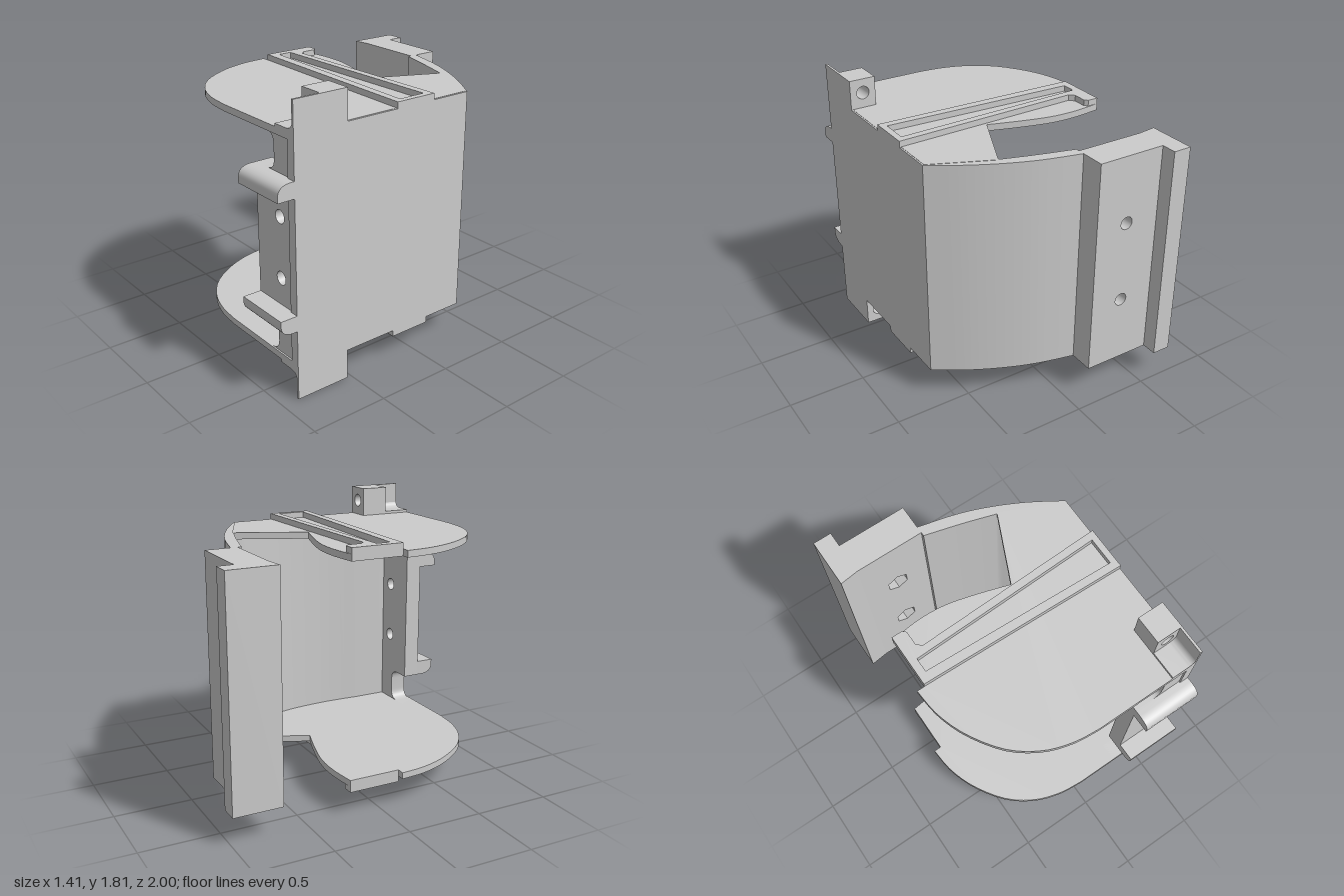
import * as THREE from 'three';
import { toCreasedNormals } from 'three/addons/utils/BufferGeometryUtils.js';

const MID = 0.905; // mirror height: upper and lower halves match
const material = new THREE.MeshStandardMaterial({ color: 0xcccccc });

const curve = (pts, n = 20) =>
  new THREE.SplineCurve(pts.map(([x, y]) => new THREE.Vector2(x, y))).getPoints(n).map(p => [p.x, p.y]);
const toShape = pts => new THREE.Shape(pts.map(([x, y]) => new THREE.Vector2(x, y)));
const circle = (x, y, r, n = 24) =>
  new THREE.Path(Array.from({ length: n }, (_, i) => {
    const a = Math.PI / 2 + i / n * Math.PI * 2;
    return new THREE.Vector2(x + r * Math.cos(a), y + r * Math.sin(a));
  }));

export function createModel() {
  const group = new THREE.Group();

  const add = (name, geometry) => {
    const mesh = new THREE.Mesh(toCreasedNormals(geometry, 0.5), material);
    mesh.name = name;
    group.add(mesh);
    return mesh;
  };
  // Outline in x, z raised from y0 to y1
  const slab = (name, pts, y0, y1, hole) => {
    const flip = p => p.map(([x, z]) => [x, -z]);
    const shape = toShape(flip(pts));
    if (hole) shape.holes.push(toShape(flip(hole)));
    const geo = new THREE.ExtrudeGeometry(shape, { depth: y1 - y0, bevelEnabled: false });
    geo.rotateX(-Math.PI / 2).translate(0, y0, 0);
    return add(name, geo);
  };
  // Outline in x, y pushed from z0 to z1
  const panel = (name, shape, z0, z1) => {
    const geo = new THREE.ExtrudeGeometry(shape, { depth: z1 - z0, bevelEnabled: false, curveSegments: 10 });
    return add(name, geo.translate(0, 0, z0));
  };
  const rect = (x0, x1, y0, y1) => [[x0, y0], [x1, y0], [x1, y1], [x0, y1]];

  // Curved back wall running into the straight side wall
  slab('shellWall', [
    ...curve([[-0.14, -0.74], [0.1, -0.68], [0.3, -0.605], [0.5, -0.505], [0.7, -0.38]]),
    [0.7, 0.89], [0.64, 0.89],
    ...curve([[0.64, 0.55], [0.65, 0.25], [0.61, -0.08], [0.49, -0.38], [0.31, -0.54]]),
    ...curve([[0.31, -0.54], [0.1, -0.605], [-0.14, -0.67]]).slice(1),
  ], 0.19, 1.62);

  // Rear mounting flange: round bores behind, hexagonal nut pockets in front
  const bores = [0.635, 1.175];
  const flangeBack = toShape(rect(-0.6, -0.14, 0.19, 1.62));
  const flangeFront = toShape(rect(-0.6, -0.14, 0.19, 1.62));
  for (const y of bores) {
    flangeBack.holes.push(circle(-0.36, y, 0.042));
    flangeFront.holes.push(circle(-0.36, y, 0.075, 6));
  }
  panel('rearFlange', flangeBack, -0.9, -0.77);
  panel('nutPocketLayer', flangeFront, -0.77, -0.695);
  slab('rearPost', [[-0.71, -1], [-0.59, -1], [-0.59, -0.695], [-0.71, -0.68]], 0.19, 1.62);

  // Front flange with rounded slots beside the centre panel
  const front = new THREE.Shape();
  front.moveTo(0.7, 0.19);
  front.lineTo(0.7, 1.62);
  front.lineTo(0.3, 1.62);
  front.lineTo(0.3, 1.58);
  front.lineTo(0.43, 1.58);
  front.quadraticCurveTo(0.5, 1.58, 0.5, 1.51);
  front.lineTo(0.5, 1.43);
  front.quadraticCurveTo(0.5, 1.36, 0.43, 1.36);
  front.lineTo(0.32, 1.36);
  front.lineTo(0.32, 0.45);
  front.lineTo(0.43, 0.45);
  front.quadraticCurveTo(0.5, 0.45, 0.5, 0.38);
  front.lineTo(0.5, 0.3);
  front.quadraticCurveTo(0.5, 0.23, 0.43, 0.23);
  front.lineTo(0.3, 0.23);
  front.lineTo(0.3, 0.19);
  for (const y of [0.72, 1.1]) front.holes.push(circle(0.54, y, 0.042));
  panel('frontFlange', front, 0.77, 0.88);

  // End plate outline: round front, swept rear edge, cut-out beside the back wall
  const plate = [
    [-0.65, 0.13], [-0.7, 0.13],
    ...curve([[-0.7, 0.13], [-0.68, 0.31], [-0.61, 0.5], [-0.48, 0.69], [-0.32, 0.81], [-0.15, 0.87], [0.02, 0.89]]).slice(1),
    [0.69, 0.89], [0.69, -0.38], [0.31, -0.55], [0.11, -0.11],
    ...curve([[0.11, -0.11], [-0.08, -0.17], [-0.28, -0.22], [-0.46, -0.23], [-0.65, -0.21]]).slice(1),
  ];
  const rail = [
    [-0.65, 0.13], [0.7, 0.17], [0.7, -0.11], [-0.53, -0.07],
    [-0.56, -0.1], [-0.56, -0.19], [-0.58, -0.21], [-0.65, -0.21],
  ];
  const groove = [[-0.6, -0.02], [0.66, -0.06], [0.66, 0.12], [-0.6, 0.07]];

  for (const [side, s] of [['upper', 1], ['lower', -1]]) {
    // Heights are given for the upper half and mirrored for the lower
    const range = (a, b) => s > 0 ? [a, b] : [2 * MID - b, 2 * MID - a];
    const my = y => s > 0 ? y : 2 * MID - y;

    slab(side + 'Plate', plate, ...range(1.58, 1.622));
    slab(side + 'Rail', rail, ...range(1.615, 1.66), groove);

    // Screw ear: bored tab, thin outer cheek, and the floor of the screw pocket
    const ear = toShape(rect(0.53, 0.695, ...range(1.6, 1.81)));
    ear.holes.push(circle(0.615, my(1.72), 0.042));
    panel(side + 'EarTab', ear, 0.53, 0.71);
    slab(side + 'EarCheek', rect(0.685, 0.7, 0.53, 0.89), ...range(1.6, 1.81));
    const floor = new THREE.Shape();
    floor.moveTo(0.53, my(1.58));
    floor.lineTo(0.53, my(1.64));
    floor.lineTo(0.63, my(1.64));
    floor.quadraticCurveTo(0.688, my(1.64), 0.688, my(1.7));
    floor.lineTo(0.7, my(1.7));
    floor.lineTo(0.7, my(1.58));
    panel(side + 'PocketFloor', floor, 0.7, 0.89);

    // Forward hook, flat towards the middle and rounded on the outside
    const hook = new THREE.Shape();
    hook.moveTo(-0.8, my(1.26));
    hook.lineTo(-1, my(1.26));
    hook.lineTo(-1, my(1.3));
    hook.quadraticCurveTo(-0.995, my(1.355), -0.92, my(1.36));
    hook.lineTo(-0.8, my(1.36));
    const hookGeo = new THREE.ExtrudeGeometry(hook, { depth: 0.38, bevelEnabled: false, curveSegments: 8 });
    add(side + 'Hook', hookGeo.rotateY(Math.PI / 2).translate(0.32, 0, 0));
  }
  return group;
}
